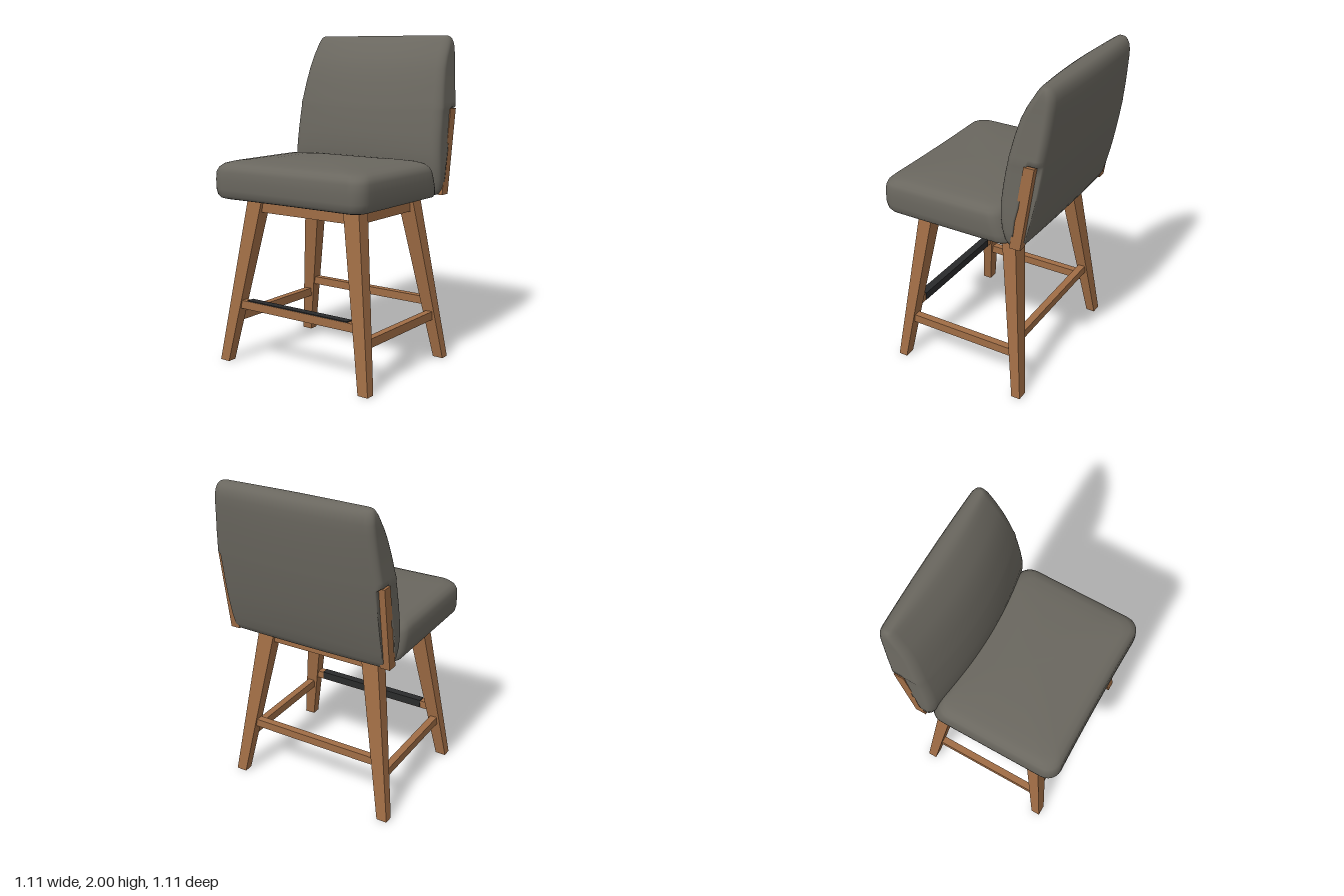
import * as THREE from 'three';

const wood = new THREE.MeshStandardMaterial({ color: 0xa06d45 });
wood.name = 'wood';
const fabric = new THREE.MeshStandardMaterial({ color: 0x6a675f });
fabric.name = 'greyFabric';
const metal = new THREE.MeshStandardMaterial({ color: 0x2a2b2c });
metal.name = 'blackMetal';

const lerp = THREE.MathUtils.lerp;

// Rounded rectangle in plan with evenly divided sides: list of [x, z]
function roundedSection(w, back, front, radius) {
  const r = Math.min(radius, (front - back) * 0.49);
  const zm = (front + back) / 2, hz = (front - back) / 2;
  const signs = [[1, 1], [-1, 1], [-1, -1], [1, -1]];
  const arc = (k, i) => {
    const a = (k + i / 6) * Math.PI / 2, [sx, sz] = signs[k % 4];
    return [sx * (w - r) + r * Math.cos(a), zm + sz * (hz - r) + r * Math.sin(a)];
  };
  const pts = [];
  for (let k = 0; k < 4; k++) {
    for (let i = 0; i <= 6; i++) pts.push(arc(k, i));
    const p = arc(k, 6), q = arc(k + 1, 0);
    for (let j = 1; j < 12; j++) pts.push([lerp(p[0], q[0], j / 12), lerp(p[1], q[1], j / 12)]);
  }
  return pts;
}

// Closed cushion lofted upwards through rows of [y, back z, front z, half width, radius]
function cushion(name, rows, bend) {
  const pos = [], index = [];
  let n = 0;
  for (const [y, back, front, w, r] of rows) {
    const pts = roundedSection(w, back, front, r);
    n = pts.length;
    for (const [x, z] of pts) pos.push(...bend(x, y, z, w, back, front));
  }
  const last = rows.length - 1;
  for (let j = 0; j < last; j++) {
    for (let i = 0; i < n; i++) {
      const a = j * n + i, b = j * n + (i + 1) % n;
      index.push(a, a + n, b, b, a + n, b + n);
    }
  }
  const centre = (row) => [0, row[0], (row[1] + row[2]) / 2];
  pos.push(...centre(rows[0]), ...centre(rows[last]));
  const c0 = (last + 1) * n;
  for (let i = 0; i < n; i++) {
    const k = (i + 1) % n;
    index.push(c0, i, k, c0 + 1, last * n + k, last * n + i);
  }
  const geo = new THREE.BufferGeometry();
  geo.setAttribute('position', new THREE.Float32BufferAttribute(pos, 3));
  geo.setIndex(index);
  geo.computeVertexNormals();
  const mesh = new THREE.Mesh(geo, fabric);
  mesh.name = name;
  return mesh;
}

// Straight or slanted bar between two rectangles [x0, x1, z0, z1]; side -1 mirrors it in x
function bar(name, y0, y1, low, high, side = 1, material = wood) {
  const geo = new THREE.BoxGeometry(1, 1, 1);
  const p = geo.attributes.position;
  for (let i = 0; i < p.count; i++) {
    const up = p.getY(i) > 0, [x0, x1, z0, z1] = up ? high : low;
    const right = p.getX(i) * side > 0;
    p.setXYZ(i, side * (right ? x1 : x0), up ? y1 : y0, p.getZ(i) > 0 ? z1 : z0);
  }
  geo.computeVertexNormals();
  const mesh = new THREE.Mesh(geo, material);
  mesh.name = name;
  return mesh;
}

export function createModel() {
  const model = new THREE.Group();
  model.name = 'counterStool';
  const block = (name, y0, y1, rect, side, mat) => model.add(bar(name, y0, y1, rect, rect, side, mat));

  // Seat cushion with domed top, sloping down at the rear
  const seatRows = [
    [1.03, -0.30, 0.51, 0.505, 0.07], [1.037, -0.305, 0.533, 0.528, 0.08],
    [1.055, -0.305, 0.548, 0.543, 0.09], [1.09, -0.295, 0.556, 0.549, 0.09],
    [1.15, -0.275, 0.556, 0.55, 0.09], [1.195, -0.26, 0.553, 0.547, 0.09],
    [1.22, -0.25, 0.543, 0.537, 0.09], [1.24, -0.235, 0.522, 0.515, 0.09],
    [1.252, -0.21, 0.485, 0.475, 0.09], [1.26, -0.17, 0.42, 0.40, 0.09],
    [1.268, -0.09, 0.32, 0.28, 0.09], [1.272, 0.02, 0.2, 0.13, 0.06],
  ];
  model.add(cushion('seatCushion', seatRows, (x, y, z, w, back, front) => {
    const t = (z - back) / (front - back);
    return [x, y, z - 0.008 * t * (1 - (x / w) ** 2)];
  }));

  // Backrest cushion: bowed front, recessed beside the posts
  const backRows = [
    [1.035, -0.37, -0.27, 0.49, 0.03], [1.045, -0.392, -0.255, 0.52, 0.04],
    [1.08, -0.412, -0.235, 0.54, 0.05], [1.14, -0.43, -0.212, 0.548, 0.05],
    [1.22, -0.453, -0.195, 0.55, 0.05], [1.3, -0.472, -0.19, 0.547, 0.05],
    [1.4, -0.493, -0.198, 0.543, 0.05], [1.5, -0.511, -0.214, 0.54, 0.05],
    [1.55, -0.519, -0.224, 0.538, 0.05], [1.57, -0.522, -0.228, 0.541, 0.05],
    [1.6, -0.526, -0.236, 0.536, 0.05], [1.7, -0.54, -0.262, 0.525, 0.05],
    [1.8, -0.55, -0.298, 0.514, 0.05], [1.87, -0.555, -0.338, 0.508, 0.05],
    [1.92, -0.556, -0.376, 0.504, 0.05], [1.955, -0.55, -0.403, 0.5, 0.05],
    [1.98, -0.537, -0.428, 0.492, 0.045], [1.993, -0.52, -0.447, 0.482, 0.03],
    [2.0, -0.5, -0.467, 0.465, 0.015],
  ];
  model.add(cushion('backrestCushion', backRows, (x, y, z, w, back, front) => {
    const t = (z - back) / (front - back), depth = front - back;
    const bentZ = z - 0.25 * depth * t * (x / w) ** 2 + 0.06 * depth * (1 - t) * (x / w) ** 2;
    const postFront = -0.335 - (y - 1.04) * 0.17;
    const limit = y < 1.56 && bentZ < postFront ? 0.508 : 1;
    return [Math.sign(x) * Math.min(Math.abs(x), limit), y, bentZ];
  }));

  for (const side of [1, -1]) {
    const s = side > 0 ? 'left' : 'right';
    // Posts holding the backrest
    model.add(bar(s + 'BackPost', 1.04, 1.56,
      [0.485, 0.545, -0.39, -0.322], [0.485, 0.545, -0.472, -0.408], side));
    // Splayed, tapered legs
    model.add(bar(s + 'FrontLeg', 0, 1.035,
      [0.488, 0.556, 0.43, 0.487], [0.3, 0.41, 0.28, 0.37], side));
    model.add(bar(s + 'BackLeg', 0, 1.035,
      [0.488, 0.556, -0.402, -0.345], [0.3, 0.41, -0.285, -0.195], side));
    // Side rails
    block(s + 'Apron', 0.94, 1.034, [0.345, 0.39, -0.24, 0.33], side);
    block(s + 'Stretcher', 0.25, 0.303, [0.455, 0.5, -0.335, 0.42], side);
  }

  // Front and back rails
  block('frontApron', 0.94, 1.034, [-0.36, 0.36, 0.31, 0.355]);
  block('backApron', 0.94, 1.034, [-0.36, 0.36, -0.27, -0.225]);
  block('frontStretcher', 0.34, 0.39, [-0.45, 0.45, 0.388, 0.435]);
  block('backStretcher', 0.34, 0.39, [-0.45, 0.45, -0.348, -0.303]);

  // Angled kick plate over the top and inner face of the foot rail
  block('kickPlateTop', 0.39, 0.396, [-0.375, 0.375, 0.382, 0.432], 1, metal);
  block('kickPlateBack', 0.345, 0.39, [-0.375, 0.375, 0.382, 0.388], 1, metal);

  return model;
}
